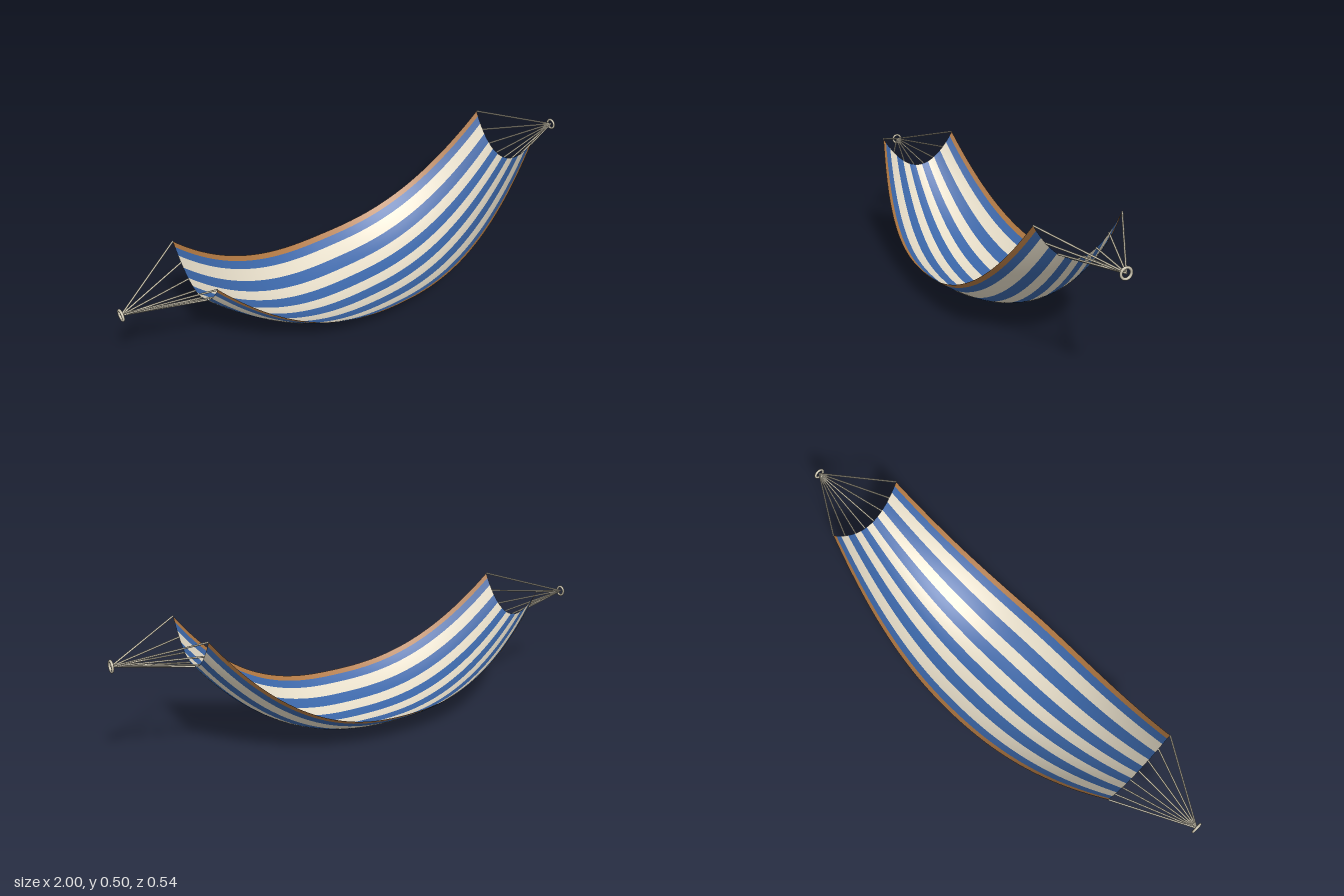
import * as THREE from 'three';

const material = (name, color, side = THREE.FrontSide) => {
  const m = new THREE.MeshStandardMaterial({ color, side });
  m.name = name;
  return m;
};

const HALF_LENGTH = 0.71;

// Cloth surface: u runs -1..1 across the width, x along the length
function clothPoint(u, x) {
  const s = Math.abs(x) / HALF_LENGTH;
  const halfWidth = 0.271 - 0.108 * s * s;
  const rise = (x > 0 ? 0.364 : 0.314) * s ** 2.45;
  const sag = 0.109 + 0.026 * s * s;
  return new THREE.Vector3(x, 0.001 + rise + sag * u * u, halfWidth * u);
}

// One lengthwise band of cloth between two u values
function clothBand(u0, u1, mat, name) {
  const across = 4, along = 56;
  const geo = new THREE.PlaneGeometry(1, 1, along, across);
  const pos = geo.attributes.position;
  for (let i = 0; i < pos.count; i++) {
    const u = THREE.MathUtils.lerp(u0, u1, 0.5 - pos.getY(i));
    const p = clothPoint(u, pos.getX(i) * 2 * HALF_LENGTH);
    pos.setXYZ(i, p.x, p.y, p.z);
  }
  geo.computeVertexNormals();
  const mesh = new THREE.Mesh(geo, mat);
  mesh.name = name;
  return mesh;
}

// Straight cord between two points
function cord(a, b, radius, mat) {
  const dir = b.clone().sub(a);
  const mesh = new THREE.Mesh(new THREE.CylinderGeometry(radius, radius, dir.length(), 8), mat);
  mesh.position.copy(a).add(b).multiplyScalar(0.5);
  mesh.quaternion.setFromUnitVectors(new THREE.Vector3(0, 1, 0), dir.normalize());
  mesh.name = 'cord';
  return mesh;
}

export function createModel() {
  const cream = material('cream cloth', 0xe3dac6, THREE.DoubleSide);
  const blue = material('blue cloth', 0x3b66a7, THREE.DoubleSide);
  const brown = material('brown hem', 0xae7641, THREE.DoubleSide);
  const rope = material('rope', 0xc9c2ae);

  const model = new THREE.Group();
  model.name = 'hammock';

  // Striped cloth: eleven bands, with a hem along each long edge
  const cloth = new THREE.Group();
  cloth.name = 'cloth';
  const stripes = 11, hem = 0.93;
  for (let i = 0; i < stripes; i++) {
    const u0 = Math.max(-hem, -1 + (2 * i) / stripes);
    const u1 = Math.min(hem, -1 + (2 * (i + 1)) / stripes);
    cloth.add(clothBand(u0, u1, i % 2 ? cream : blue, 'stripe'));
  }
  cloth.add(clothBand(-1, -hem, brown, 'backHem'), clothBand(hem, 1, brown, 'frontHem'));
  model.add(cloth);

  // Cords gathered into a ring at each end
  for (const side of [1, -1]) {
    const end = new THREE.Group();
    end.name = side > 0 ? 'leftSuspension' : 'rightSuspension';
    const hub = new THREE.Vector3(side * 0.995, 0.393 + side * 0.025, 0);
    for (let i = 0; i < 8; i++) {
      end.add(cord(clothPoint(-1 + (2 * i) / 7, side * HALF_LENGTH), hub, 0.0032, rope));
    }
    const ring = new THREE.Mesh(new THREE.TorusGeometry(0.0185, 0.0048, 10, 28), rope);
    ring.rotation.y = Math.PI / 2;
    ring.position.copy(hub);
    ring.name = 'ring';
    end.add(ring);
    model.add(end);
  }
  return model;
}
